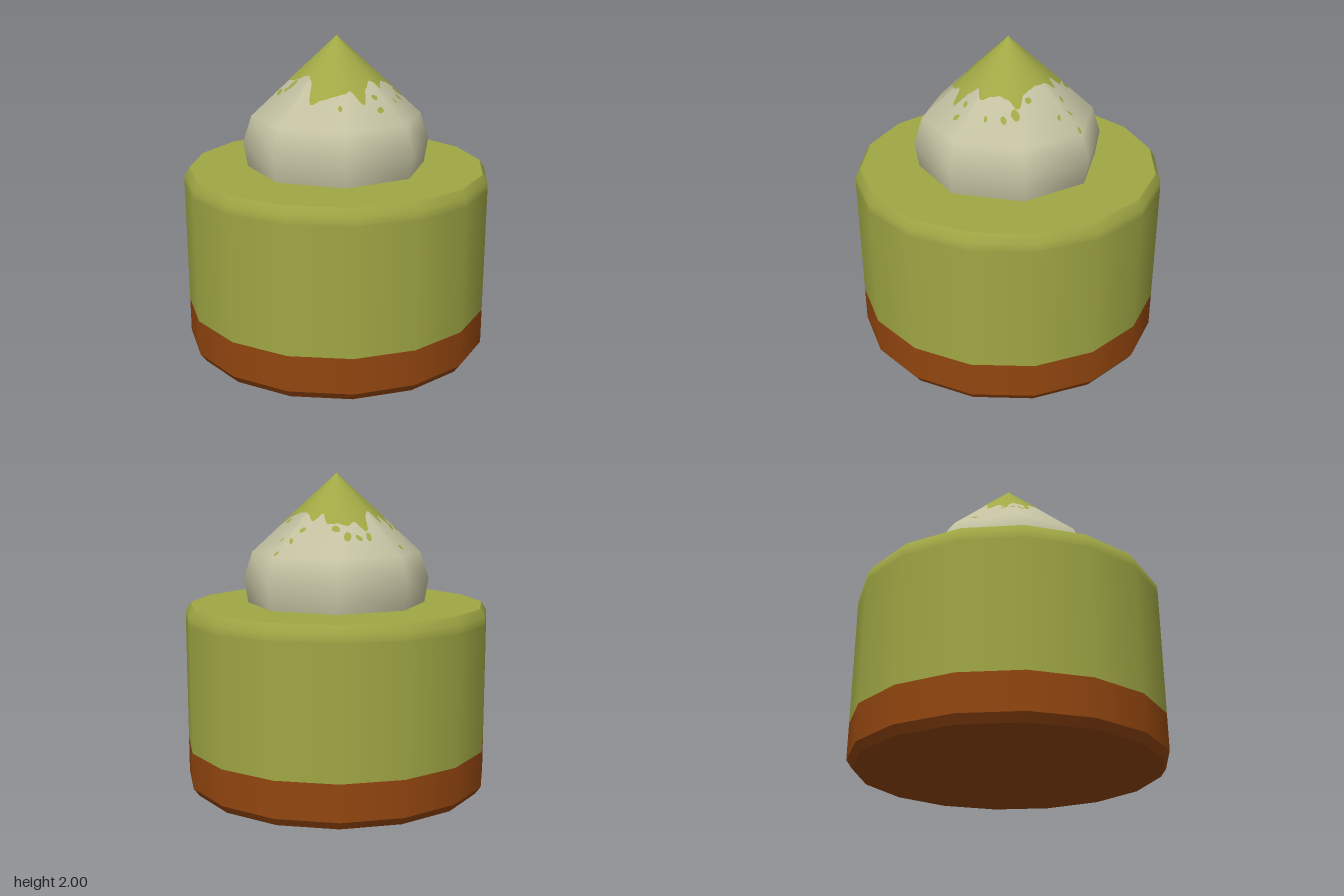
import * as THREE from 'three';

const green = new THREE.MeshStandardMaterial({ name: 'mossGreen', color: 0xa0a744 });
const brown = new THREE.MeshStandardMaterial({ name: 'rustBrown', color: 0x93460f });
const cream = new THREE.MeshStandardMaterial({ name: 'paleStone', color: 0xc4c2a2 });

const TIP = 2, SHOULDER_Y = 1.5, SHOULDER_R = 0.54;

function turned(name, profile, sides, material) {
  const points = profile.map(([r, y]) => new THREE.Vector2(r, y));
  const mesh = new THREE.Mesh(new THREE.LatheGeometry(points, sides), material);
  mesh.name = name;
  return mesh;
}

// Point lying just above the eight-sided cone
function onCone(x, z) {
  const r = Math.hypot(x, z), step = Math.PI / 4;
  const t = (Math.atan2(z, x) + Math.PI * 2) % step;
  const rim = SHOULDER_R * Math.cos(step / 2) / Math.cos(t - step / 2);
  return new THREE.Vector3(x, TIP - (r / rim) * (TIP - SHOULDER_Y) + (r > 0 ? 0.004 : 0), z);
}

// Fan-shaped patch of paint that follows the cone
function patch(cx, cz, radiusAt, count, rings, positions, normals) {
  const at = (i, k) => {
    const a = (i / count) * Math.PI * 2, r = radiusAt(a) * k / rings;
    return [onCone(cx + Math.cos(a) * r, cz + Math.sin(a) * r), a];
  };
  const put = ([p, a]) => {
    const t = cx || cz ? Math.atan2(p.z, p.x) : a;
    const n = new THREE.Vector3(Math.cos(t) * 0.5, SHOULDER_R, Math.sin(t) * 0.5).normalize();
    positions.push(p.x, p.y, p.z);
    normals.push(n.x, n.y, n.z);
  };
  for (let i = 0; i < count; i++) {
    for (let k = 0; k < rings; k++) {
      [at(i, k), at(i + 1, k + 1), at(i, k + 1)].forEach(put);
      if (k > 0) [at(i, k), at(i + 1, k), at(i + 1, k + 1)].forEach(put);
    }
  }
}

function paintMesh(name, build) {
  const positions = [], normals = [];
  build(positions, normals);
  const g = new THREE.BufferGeometry();
  g.setAttribute('position', new THREE.Float32BufferAttribute(positions, 3));
  g.setAttribute('normal', new THREE.Float32BufferAttribute(normals, 3));
  const mesh = new THREE.Mesh(g, green);
  mesh.name = name;
  return mesh;
}

// Ragged edge radius of the painted tip, every ten degrees from +x towards +z
const EDGE = [
  0.36, 0.30, 0.28, 0.29, 0.32, 0.27, 0.30, 0.38, 0.31, 0.34, 0.34, 0.35,
  0.38, 0.27, 0.24, 0.24, 0.26, 0.28, 0.30, 0.33, 0.27, 0.32, 0.25, 0.27,
  0.36, 0.30, 0.33, 0.33, 0.32, 0.25, 0.30, 0.27, 0.26, 0.25, 0.26, 0.28,
];
function edgeRadius(a) {
  const f = (a / (Math.PI * 2)) * EDGE.length, i = Math.floor(f + 1e-6), s = f - i;
  const blend = s * s * (3 - 2 * s);
  return THREE.MathUtils.lerp(EDGE[i % EDGE.length], EDGE[(i + 1) % EDGE.length], blend);
}

// Splashes below the tip: x, z, radius
const DROPS = [
  [-0.06, -0.39, 0.025], [-0.13, -0.37, 0.018], [0.01, -0.36, 0.022], [-0.19, -0.34, 0.02],
  [-0.39, -0.25, 0.018], [-0.34, -0.06, 0.022], [-0.38, -0.01, 0.016], [-0.36, 0.04, 0.02],
  [-0.28, 0.09, 0.024], [-0.32, 0.08, 0.014], [0.21, -0.29, 0.016], [0.28, -0.33, 0.014],
  [0.37, -0.37, 0.014], [0.34, -0.25, 0.012], [0.23, 0.35, 0.018], [0.20, 0.29, 0.016],
  [-0.02, 0.41, 0.014], [0.38, 0.09, 0.018], [0.30, -0.07, 0.018], [0.34, 0.19, 0.012],
  [0.38, 0.02, 0.026],
];

export function createModel() {
  const model = new THREE.Group();
  model.name = 'domedDrum';

  // Sixteen-sided drum: brown foot, green wall with a softened rim, flat lid
  model.add(
    turned('footUnderside', [[0, 0], [0.94, 0]], 16, brown),
    turned('footBevel', [[0.94, 0], [0.975, 0.05]], 16, brown),
    turned('footBand', [[0.975, 0.05], [0.975, 0.277]], 16, brown),
    turned('drumWall', [[0.975, 0.277], [0.975, 1.08]], 16, green),
    turned('drumRim', [[0.975, 1.08], [0.972, 1.125], [0.94, 1.175]], 16, green),
    turned('drumLid', [[0.94, 1.175], [0, 1.175]], 16, green),
  );

  // Eight-sided pointed dome
  model.add(turned('dome', [[0.565, 1.15], [0.57, 1.175], [0.595, 1.33],
    [SHOULDER_R, SHOULDER_Y], [0, TIP]], 8, cream));

  // Painted tip and its splashes
  model.add(paintMesh('paintedTip', (p, n) => patch(0, 0, edgeRadius, 144, 1, p, n)));
  model.add(paintMesh('paintDrops', (p, n) => {
    for (const [x, z, r] of DROPS) {
      patch(x, z, (a) => r * (1 + 0.25 * Math.sin(2 * a + x * 40)), 12, 2, p, n);
    }
  }));
  return model;
}
